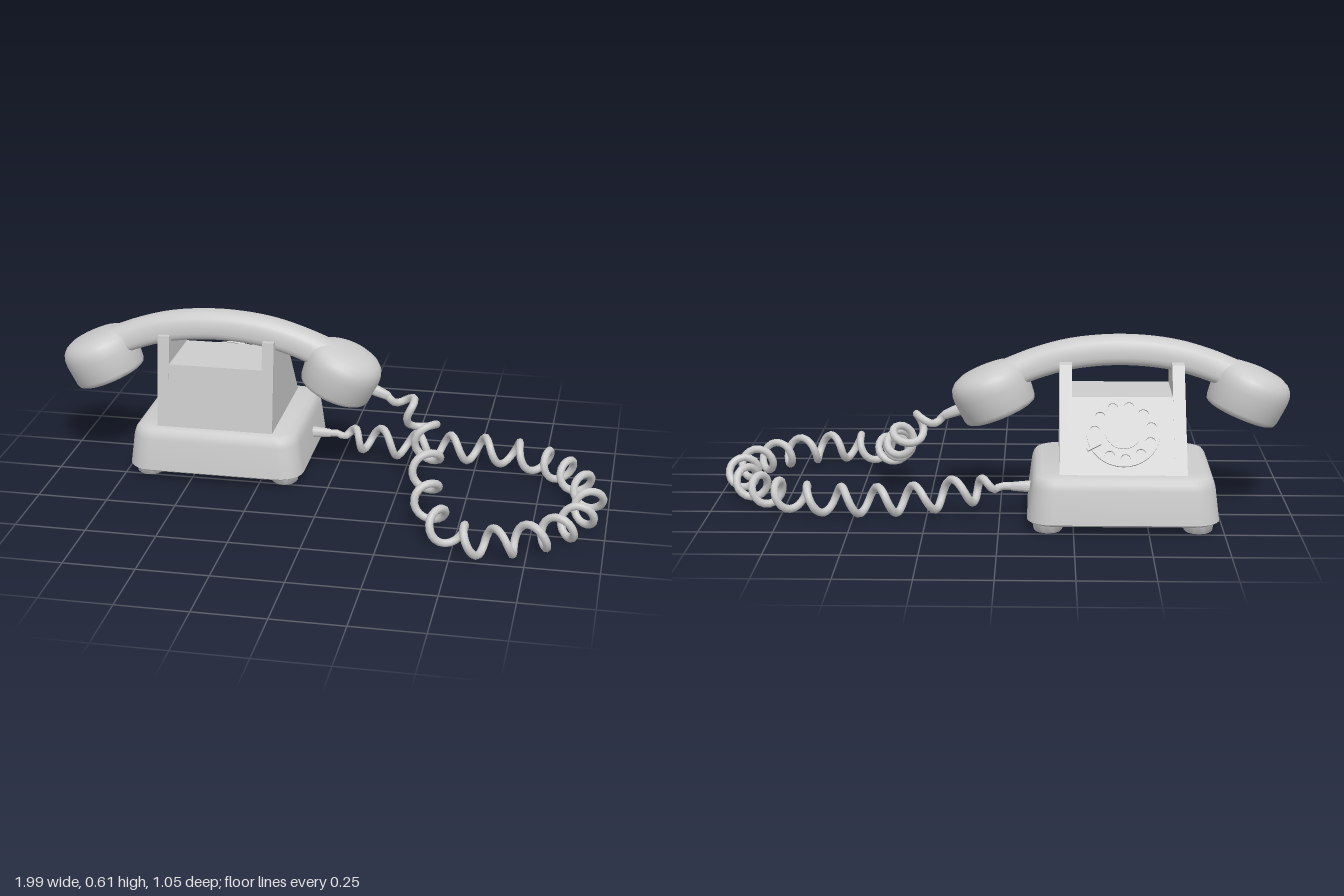
import * as THREE from 'three';
import { toCreasedNormals } from 'three/addons/utils/BufferGeometryUtils.js';

const V = (x, y, z) => new THREE.Vector3(x, y, z);
const CX = -0.415; // centre of the telephone in x
const material = new THREE.MeshStandardMaterial({ color: 0xcccccc });

function add(parent, name, geometry, x = 0, y = 0, z = 0) {
  const mesh = new THREE.Mesh(geometry, material);
  mesh.name = name;
  mesh.position.set(x, y, z);
  parent.add(mesh);
  return mesh;
}

// Skin over closed rings of points, with both ends capped
function loft(rings) {
  const n = rings[0].length, pos = [], idx = [];
  rings.forEach(r => r.forEach(p => pos.push(p.x, p.y, p.z)));
  for (let i = 0; i < rings.length - 1; i++) {
    for (let j = 0; j < n; j++) {
      const a = i * n + j, b = i * n + (j + 1) % n;
      idx.push(a, b, a + n, b, b + n, a + n);
    }
  }
  const last = (rings.length - 1) * n;
  for (let j = 1; j < n - 1; j++) {
    idx.push(0, j + 1, j, last, last + j, last + j + 1);
  }
  const g = new THREE.BufferGeometry();
  g.setAttribute('position', new THREE.Float32BufferAttribute(pos, 3));
  g.setIndex(idx);
  return toCreasedNormals(g, 0.7);
}

// Horizontal rounded rectangle, counter-clockwise from above
function roundedRing(hx, hz, r, y) {
  const pts = [], corners = [[1, -1], [-1, -1], [-1, 1], [1, 1]];
  corners.forEach(([sx, sz], c) => {
    for (let k = 0; k <= 6; k++) {
      const a = (c + k / 6) * Math.PI / 2;
      pts.push(V(sx * (hx - r) + r * Math.cos(a), y, sz * (hz - r) - r * Math.sin(a)));
    }
  });
  return pts;
}

// Side profile in (depth behind the front, height), extruded along x
function sideSlab(points, x0, x1) {
  const shape = new THREE.Shape(points.map(p => new THREE.Vector2(...p)));
  const g = new THREE.ExtrudeGeometry(shape, { depth: x1 - x0, bevelEnabled: false });
  return g.rotateY(Math.PI / 2).translate(x0, 0, 0);
}

const lathe = (pts, n = 32) =>
  toCreasedNormals(new THREE.LatheGeometry(pts.map(p => new THREE.Vector2(...p)), n), 0.7);

function buildBase(root) {
  const steps = [[0.03, 0.012], [0.038, 0], [0.15, 0.014], [0.172, 0.02], [0.185, 0.03], [0.192, 0.048]];
  add(root, 'base', loft(steps.map(([y, d]) => roundedRing(0.32 - d, 0.29 - d, 0.085 - d * 0.6, y))), CX, 0, -0.24);
  for (const x of [-0.665, -0.165]) for (const z of [-0.035, -0.45]) {
    add(root, 'foot', lathe([[0, 0], [0.042, 0], [0.048, 0.006], [0.054, 0.04], [0, 0.04]], 20), x, 0, z);
  }
}

function buildBody(root) {
  const body = new THREE.Group();
  body.name = 'body';
  root.add(body);
  add(body, 'bodyCore', sideSlab([[0, 0.185], [0.467, 0.185], [0.289, 0.42], [0.032, 0.42]], -0.59, -0.24));
  // Cheeks rise beside the opening and carry the cradle dip
  const cheek = [[0, 0.185], [0.467, 0.185], [0.22, 0.515], [0.188, 0.52], [0.178, 0.495],
    [0.075, 0.495], [0.065, 0.52], [0.045, 0.52]];
  add(body, 'rightCheek', sideSlab(cheek, -0.627, -0.585));
  add(body, 'leftCheek', sideSlab(cheek, -0.245, -0.203));
}

function buildDial(root) {
  const dial = new THREE.Group();
  dial.name = 'dial';
  const up = V(0, 0.8, 0.6), out = V(0, 0.6, -0.8);
  dial.quaternion.setFromRotationMatrix(new THREE.Matrix4().makeBasis(V(-1, 0, 0), up, out));
  dial.position.set(CX, 0.31, -0.373);
  root.add(dial);
  const disc = (r, h) => new THREE.CylinderGeometry(r, r, h, 40).rotateX(Math.PI / 2);
  add(dial, 'dialPlate', disc(0.112, 0.008), 0, 0, 0.002);
  // Finger wheel with ten holes and a gap at the stop
  const wheel = new THREE.Shape().absarc(0, 0, 0.123, 0, Math.PI * 2);
  const stopAngle = Math.PI + 0.5;
  for (let i = 1; i <= 10; i++) {
    const a = stopAngle + i * Math.PI * 2 / 11;
    wheel.holes.push(new THREE.Path().absarc(0.096 * Math.cos(a), 0.096 * Math.sin(a), 0.017, 0, Math.PI * 2, true));
  }
  const wheelGeo = new THREE.ExtrudeGeometry(wheel, { depth: 0.006, bevelEnabled: false, curveSegments: 20 });
  add(dial, 'fingerWheel', wheelGeo, 0, 0, 0.011);
  add(dial, 'dialHub', disc(0.06, 0.008), 0, 0, 0.016);
  const stop = add(dial, 'fingerStop', new THREE.BoxGeometry(0.05, 0.009, 0.008),
    0.112 * Math.cos(stopAngle), 0.112 * Math.sin(stopAngle), 0.02);
  stop.rotation.z = stopAngle;
}

function buildHandset(root) {
  const handset = new THREE.Group();
  handset.name = 'handset';
  root.add(handset);
  // Arched grip, narrower on top, flaring into the cups
  const arch = new THREE.CatmullRomCurve3([[-0.475, 0.432], [-0.4, 0.462], [-0.285, 0.507], [-0.165, 0.539],
    [0, 0.553], [0.165, 0.539], [0.285, 0.507], [0.4, 0.462], [0.475, 0.432]].map(([x, y]) => V(CX + x, y, -0.126)));
  const rings = [];
  for (let i = 0; i <= 40; i++) {
    const t = i / 40, p = arch.getPoint(t), T = arch.getTangent(t), ring = [];
    const flare = Math.max(0, (Math.abs(p.x - CX) - 0.27) / 0.2) ** 2;
    for (let k = 0; k < 24; k++) {
      const a = k / 24 * Math.PI * 2, c = Math.cos(a), s = Math.sin(a);
      const u = Math.sign(c) * Math.abs(c) ** 0.7 * (0.052 - 0.004 * Math.min(1, flare));
      const w = Math.sign(s) * Math.abs(s) ** 0.7 * (0.057 + 0.03 * flare) * (1 - 0.2 * c);
      ring.push(V(p.x - T.y * u, p.y + T.x * u, p.z + w));
    }
    rings.push(ring);
  }
  add(handset, 'grip', loft(rings));
  // Ear and mouth cups
  const profile = [[0, 0], [0.115, 0], [0.126, 0.006], [0.131, 0.018], [0.138, 0.09], [0.137, 0.115],
    [0.13, 0.136], [0.115, 0.152], [0.09, 0.164], [0.05, 0.171], [0, 0.173]];
  for (const side of [-1, 1]) {
    const cup = add(handset, side < 0 ? 'earCup' : 'mouthCup', lathe(profile), CX + side * 0.412, 0.329, -0.126);
    cup.rotation.z = -side * 0.384;
  }
  // Cord sleeve on the mouth cup
  const sleeve = add(handset, 'handsetCordSleeve',
    lathe([[0, 0], [0.02, 0], [0.02, 0.04], [0.016, 0.085], [0.01, 0.095], [0, 0.095]], 16), 0.115, 0.35, -0.13);
  sleeve.rotation.z = -Math.PI / 2 - 0.38;
}

function buildCord(root) {
  // Centre line of the coil, with one turn between neighbouring points
  const path = [[0.19, 0.322, -0.132], [0.3, 0.27, -0.11], [0.355, 0.2, -0.02], [0.37, 0.15, 0.13],
    [0.395, 0.1, 0.26], [0.46, 0.07, 0.39], [0.57, 0.06, 0.458], [0.68, 0.06, 0.44], [0.785, 0.06, 0.38],
    [0.86, 0.06, 0.3], [0.915, 0.06, 0.19], [0.937, 0.06, 0.06], [0.89, 0.06, -0.08], [0.825, 0.06, -0.18],
    [0.745, 0.06, -0.245], [0.63, 0.06, -0.295], [0.505, 0.06, -0.31], [0.38, 0.06, -0.305],
    [0.255, 0.065, -0.29], [0.12, 0.085, -0.268], [0.03, 0.1, -0.265], [-0.05, 0.1, -0.265]];
  const centre = new THREE.CatmullRomCurve3(path.map(p => V(...p)));
  const turns = path.length - 1, pts = [];
  for (let i = 0; i <= turns * 12; i++) {
    const s = i / 12, t = s / turns, p = centre.getPoint(t);
    const T = centre.getTangent(t), out = T.clone().cross(V(0, 1, 0)).normalize(), up = out.clone().cross(T);
    const r = 0.046 * Math.min(1, s / 0.9, Math.max(0, turns - s - 0.5) / 1.2);
    const a = s * Math.PI * 2;
    pts.push(p.addScaledVector(out, r * Math.cos(a)).addScaledVector(up, -r * Math.sin(a)));
  }
  const coil = new THREE.CatmullRomCurve3(pts);
  add(root, 'coiledCord', new THREE.TubeGeometry(coil, turns * 16, 0.014, 8));
  const plug = add(root, 'baseCordSleeve',
    lathe([[0, 0], [0.02, 0], [0.02, 0.03], [0.015, 0.085], [0.01, 0.092], [0, 0.092]], 16), -0.125, 0.1, -0.265);
  plug.rotation.z = -Math.PI / 2;
}

export function createModel() {
  const root = new THREE.Group();
  root.name = 'telephone';
  buildBase(root);
  buildBody(root);
  buildDial(root);
  buildHandset(root);
  buildCord(root);
  return root;
}
